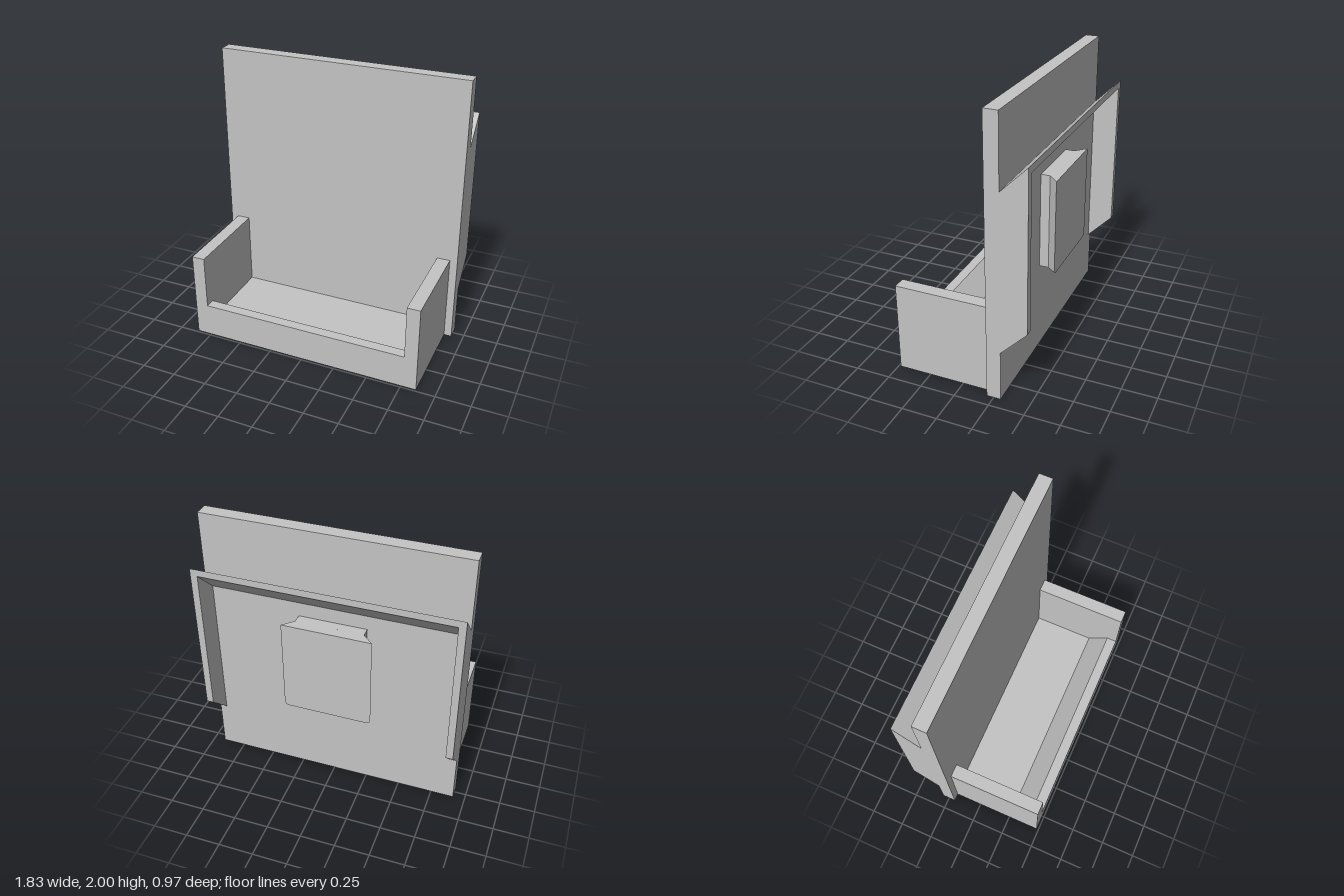
import * as THREE from 'three';
import { ConvexGeometry } from 'three/addons/geometries/ConvexGeometry.js';

const W = 0.915;          // half width of the back panel
const PANEL_BACK = -0.3;  // z of the panel's rear face
const REAR = -0.485;      // z of the rearmost rim

export function createModel() {
  const group = new THREE.Group();
  const grey = new THREE.MeshStandardMaterial({ color: 0xc4c4c4 });

  const add = (name, geometry) => {
    const mesh = new THREE.Mesh(geometry, grey);
    mesh.name = name;
    group.add(mesh);
  };

  // Box given by its limits on each axis
  const box = (name, x0, x1, y0, y1, z0, z1) => {
    const g = new THREE.BoxGeometry(x1 - x0, y1 - y0, z1 - z0);
    g.translate((x0 + x1) / 2, (y0 + y1) / 2, (z0 + z1) / 2);
    add(name, g);
  };

  // Side profile of [z, y] points, extruded from x0 to x1
  const profile = (name, points, x0, x1) => {
    const shape = new THREE.Shape(points.map(([z, y]) => new THREE.Vector2(-z, y)));
    const g = new THREE.ExtrudeGeometry(shape, { depth: x1 - x0, bevelEnabled: false });
    g.rotateY(Math.PI / 2);
    g.translate(x0, 0, 0);
    add(name, g);
  };

  // Upright panel
  box('backPanel', -W, W, 0, 2, PANEL_BACK, -0.2);

  // Tray: floor, inner ramp and low front lip between two tall end walls
  profile('trayFloorAndLip', [
    [-0.2, 0], [0.485, 0], [0.485, 0.25], [0.41, 0.25], [0.26, 0.1], [-0.2, 0.1],
  ], -0.765, 0.765);
  box('leftEndWall', 0.765, 0.86, 0, 0.65, -0.2, 0.485);
  box('rightEndWall', -0.86, -0.765, 0, 0.65, -0.2, 0.485);

  // Rear frame: two side flanges joined by a sloping top flange
  const flange = [[PANEL_BACK, 0.365], [REAR, 0.555], [REAR, 1.685], [PANEL_BACK, 1.5]];
  profile('leftFlange', flange, W - 0.05, W);
  profile('rightFlange', flange, -W, -W + 0.05);
  profile('topFlange', [
    [PANEL_BACK, 1.45], [REAR, 1.635], [REAR, 1.685], [PANEL_BACK, 1.5],
  ], -W + 0.05, W - 0.05);

  // Rear mounting slide: narrow stem with a flared head, rounded at its lower corners
  const y0 = 0.655, y1 = 1.345, half = 0.315, stem = 0.24, r = 0.03;
  box('slideStem', -stem, stem, y0, y1, -0.366, PANEL_BACK);
  const head = [];
  for (const s of [-1, 1]) {
    head.push(new THREE.Vector3(s * stem, y0, -0.365), new THREE.Vector3(s * stem, y1, -0.365));
    head.push(new THREE.Vector3(s * half, y1, -0.437));
    for (let i = 0; i <= 4; i++) {
      const a = (i / 4) * Math.PI / 2;
      head.push(new THREE.Vector3(
        s * (half - r + r * Math.cos(a)), y0 + r - r * Math.sin(a), -0.437));
    }
  }
  add('slideHead', new ConvexGeometry(head));

  return group;
}
